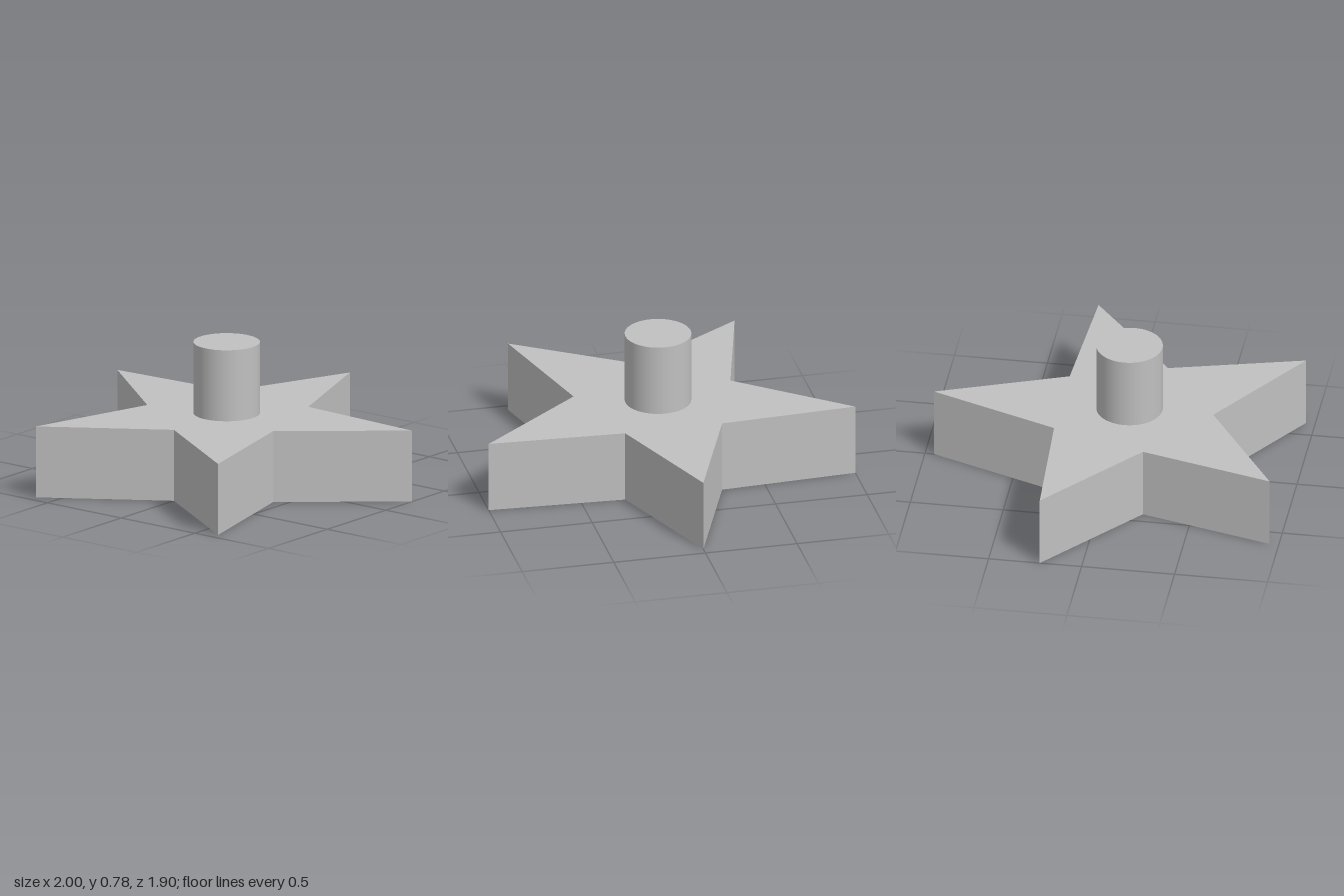
import * as THREE from 'three';

const TIP = 1.0515;      // star tip radius
const NOTCH = 0.45;      // star notch radius
const THICK = 0.39;      // slab thickness
const CENTER_Z = 0.1;    // star centre, so the bounds are centred on z = 0

export function createModel() {
  const model = new THREE.Group();
  const grey = new THREE.MeshStandardMaterial({ color: 0xc0c0c0 });
  grey.name = 'grey';

  // Five-pointed star slab, one tip pointing to the back
  const points = [];
  for (let i = 0; i < 10; i++) {
    const a = Math.PI / 2 + (i * Math.PI) / 5;
    const r = i % 2 ? NOTCH : TIP;
    points.push(new THREE.Vector2(r * Math.cos(a), r * Math.sin(a)));
  }
  const slab = new THREE.ExtrudeGeometry(new THREE.Shape(points), { depth: THICK, bevelEnabled: false });
  slab.rotateX(-Math.PI / 2);
  const star = new THREE.Mesh(slab, grey);
  star.name = 'starBase';
  star.position.z = CENTER_Z;
  model.add(star);

  // Round peg standing on the star's centre
  const peg = new THREE.Mesh(new THREE.CylinderGeometry(0.177, 0.177, THICK, 64), grey);
  peg.name = 'peg';
  peg.position.set(0, THICK * 1.5, CENTER_Z);
  model.add(peg);

  return model;
}
